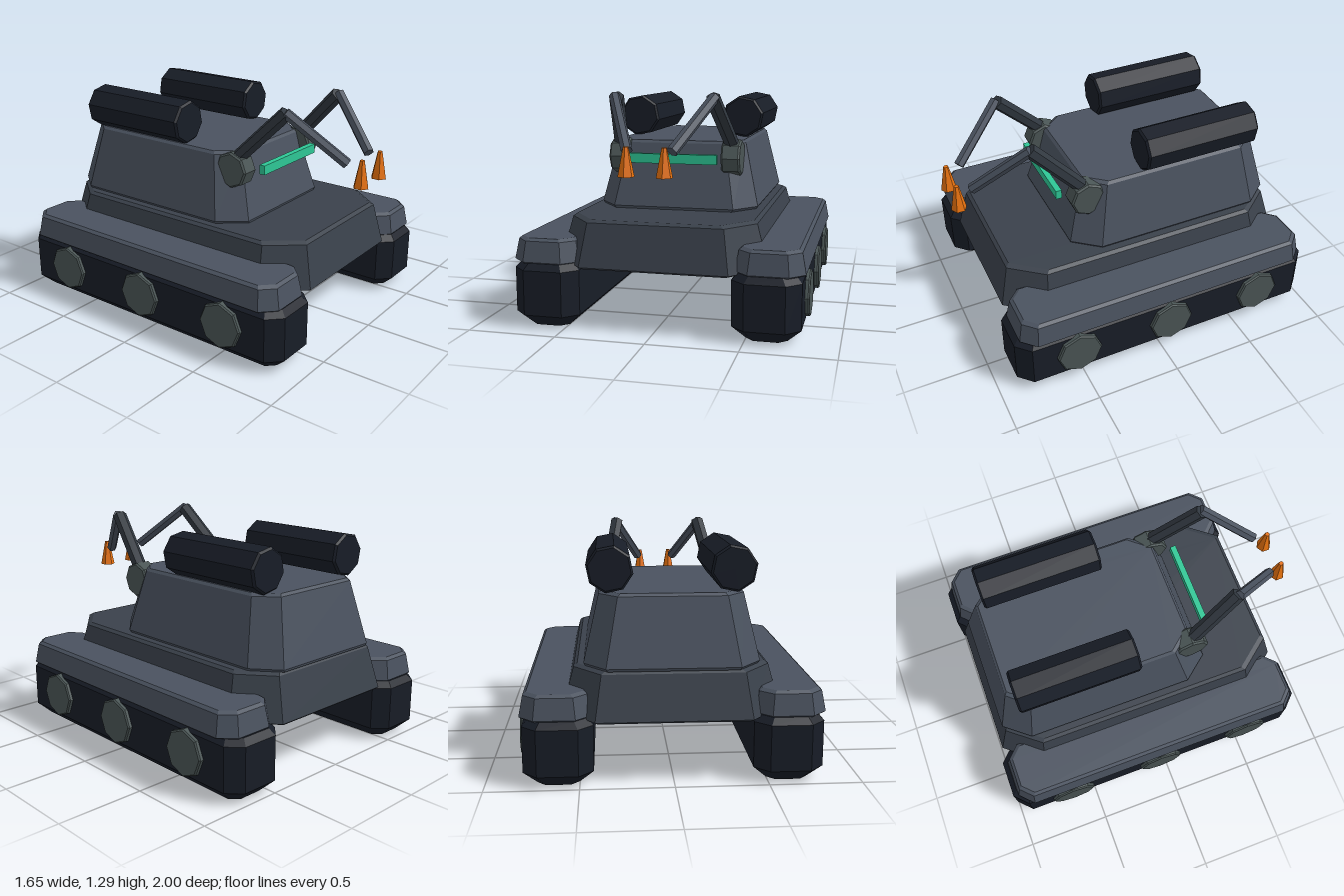
import * as THREE from 'three';

const paint = (color) => new THREE.MeshStandardMaterial({ color, flatShading: true });
const armor = paint(0x4a525f), hullPaint = paint(0x3a414b), dark = paint(0x181d27);
const steel = paint(0x4a5555), armPaint = paint(0x30373f), orange = paint(0xe8720f), green = paint(0x2ec796);

// Stack of corner-cut rectangles; each ring is [y, halfWidth, zBack, zFront, cutX, cutZ]
function loft(rings) {
  const pts = rings.map(([y, w, b, f, cx, cz]) => [
    [w - cx, f], [w, f - cz], [w, b + cz], [w - cx, b],
    [cx - w, b], [-w, b + cz], [-w, f - cz], [cx - w, f],
  ].map(([x, z]) => [x, y, z]));
  const pos = [];
  const tri = (...corners) => corners.forEach((c) => pos.push(...c));
  for (let r = 0; r < pts.length - 1; r++) {
    for (let i = 0; i < 8; i++) {
      const j = (i + 1) % 8, lo = pts[r], hi = pts[r + 1];
      tri(lo[i], lo[j], hi[j]);
      tri(lo[i], hi[j], hi[i]);
    }
  }
  const bottom = pts[0], top = pts[pts.length - 1];
  for (let i = 1; i < 7; i++) {
    tri(top[0], top[i], top[i + 1]);
    tri(bottom[0], bottom[i + 1], bottom[i]);
  }
  const g = new THREE.BufferGeometry();
  g.setAttribute('position', new THREE.Float32BufferAttribute(pos, 3));
  g.computeVertexNormals();
  return g;
}

// Eight-sided drum with bevelled rims, standing along y
function drum(radius, length, bevel) {
  const h = length / 2, r = radius - bevel;
  const profile = [[0, -h], [r, -h], [radius, bevel - h], [radius, h - bevel], [r, h], [0, h]];
  return new THREE.LatheGeometry(profile.map(([x, y]) => new THREE.Vector2(x, y)), 8);
}

export function createModel() {
  const model = new THREE.Group();
  const add = (name, geometry, material, x = 0, y = 0, z = 0) => {
    const mesh = new THREE.Mesh(geometry, material);
    mesh.name = name;
    mesh.position.set(x, y, z);
    model.add(mesh);
    return mesh;
  };
  // Six-sided bar between two points
  const bar = (name, from, to, radius, material) => {
    const a = new THREE.Vector3(...from), b = new THREE.Vector3(...to);
    const mesh = add(name, new THREE.CylinderGeometry(radius, radius, a.distanceTo(b), 6), material);
    mesh.position.lerpVectors(a, b, 0.5);
    mesh.quaternion.setFromUnitVectors(new THREE.Vector3(0, 1, 0), b.sub(a).normalize());
  };

  // Hull and cabin
  add('hull', loft([
    [0.34, 0.58, -0.96, 0.84, 0.18, 0.22],
    [0.35, 0.595, -0.97, 0.85, 0.18, 0.22],
    [0.59, 0.53, -0.905, 0.795, 0.15, 0.19],
    [0.605, 0.51, -0.89, 0.775, 0.15, 0.19],
  ]), hullPaint);
  add('cabin', loft([
    [0.605, 0.465, -0.91, 0.385, 0.12, 0.15],
    [0.62, 0.475, -0.915, 0.39, 0.12, 0.15],
    [0.985, 0.39, -0.825, 0.29, 0.1, 0.12],
    [1.0, 0.375, -0.81, 0.275, 0.1, 0.12],
  ]), armor);
  add('lightBar', new THREE.BoxGeometry(0.53, 0.055, 0.035), green, 0, 0.908, 0.415);

  for (const s of [1, -1]) {
    const side = s > 0 ? 'left' : 'right';

    // Track block with fender on top
    add(side + 'Track', loft([
      [0, 0.112, -0.925, 0.815, 0.045, 0.045],
      [0.072, 0.187, -1, 0.89, 0.078, 0.078],
      [0.325, 0.187, -1, 0.89, 0.078, 0.078],
      [0.36, 0.155, -0.968, 0.858, 0.065, 0.065],
    ]), dark, s * 0.612);
    add(side + 'Fender', loft([
      [0.355, 0.18, -0.955, 0.85, 0.08, 0.08],
      [0.365, 0.19, -0.965, 0.86, 0.08, 0.08],
      [0.48, 0.168, -0.943, 0.838, 0.07, 0.07],
      [0.495, 0.15, -0.925, 0.82, 0.065, 0.065],
    ]), armor, s * 0.625);

    // Wheel hubs
    for (const z of [0.535, -0.05, -0.64]) {
      add(side + 'WheelHub', drum(0.135, 0.06, 0.008), steel, s * 0.794, 0.205, z).rotation.z = Math.PI / 2;
    }

    // Roof pod
    const pod = add(side + 'RoofPod', drum(0.128, 0.715, 0.012), dark, s * 0.33, 1.12, -0.415);
    pod.rotation.set(Math.PI / 2, s * Math.PI / 16, 0);

    // Jointed arm
    add(side + 'Shoulder', drum(0.105, 0.11, 0.01), steel, s * 0.332, 0.91, 0.28).rotation.z = Math.PI / 2;
    bar(side + 'UpperArm', [s * 0.345, 0.93, 0.25], [s * 0.272, 1.265, 0.575], 0.042, armPaint);
    bar(side + 'Forearm', [s * 0.285, 1.27, 0.575], [s * 0.122, 1.0, 0.875], 0.031, armor);

    // Tapered claw tip
    add(side + 'Claw', new THREE.CylinderGeometry(0.014, 0.045, 0.155, 6), orange, s * 0.102, 0.952, 0.955);
  }
  return model;
}
